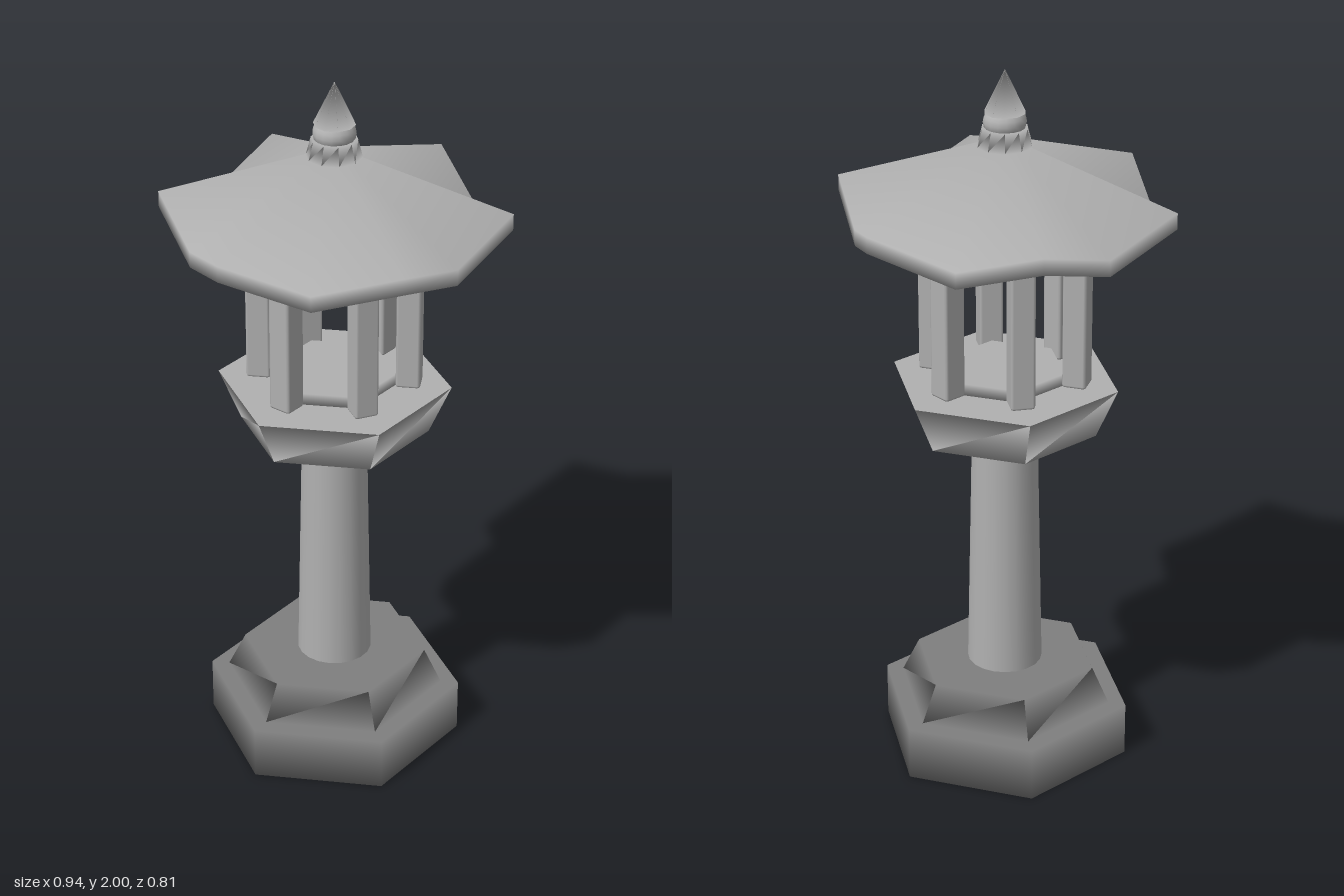
import * as THREE from 'three';
import { RoundedBoxGeometry } from 'three/addons/geometries/RoundedBoxGeometry.js';

// Ring of n points; radius and height may vary with the point index
function ring(n, radius, height) {
  return Array.from({ length: n }, (_, i) => {
    const a = (i / n) * Math.PI * 2;
    const r = typeof radius === 'function' ? radius(i) : radius;
    const y = typeof height === 'function' ? height(i) : height;
    return [r * Math.cos(a), y, -r * Math.sin(a)];
  });
}

// Solid between two rings, each closed by a fan to a centre point.
// Normals come from the two caps only, so the walls blend softly from cap to cap.
function slab(bottom, top, bottomY, topY) {
  const n = top.length;
  const points = [...top, ...bottom, [0, topY, 0], [0, bottomY, 0]];
  const caps = [], walls = [];
  for (let i = 0; i < n; i++) {
    const j = (i + 1) % n;
    caps.push(2 * n, i, j, 2 * n + 1, n + j, n + i);
    walls.push(n + i, n + j, j, n + i, j, i);
  }
  const geometry = new THREE.BufferGeometry();
  geometry.setAttribute('position', new THREE.Float32BufferAttribute(points.flat(), 3));
  geometry.setIndex(caps);
  geometry.computeVertexNormals();
  geometry.setIndex([...caps, ...walls]);
  return geometry;
}

// Straight or tapered tier with n sides
const tier = (n, r0, r1, y0, y1) => slab(ring(n, r0, y0), ring(n, r1, y1), y0, y1);

export function createModel() {
  const group = new THREE.Group();
  const paleStone = new THREE.MeshStandardMaterial({ color: 0xb0b0b0 });
  paleStone.name = 'pale stone';
  const darkStone = new THREE.MeshStandardMaterial({ color: 0x7f7f7f });
  darkStone.name = 'dark stone';

  const add = (name, geometry, material = paleStone, y = 0) => {
    const mesh = new THREE.Mesh(geometry, material);
    mesh.name = name;
    mesh.position.y = y;
    group.add(mesh);
    return mesh;
  };

  // Hexagonal stepped base
  add('basePlinth', tier(6, 0.36, 0.36, 0, 0.155), darkStone);
  add('baseStep', tier(6, 0.31, 0.26, 0.155, 0.26), darkStone);

  // Tapered round column
  add('column', new THREE.CylinderGeometry(0.09, 0.105, 0.73, 20), paleStone, 0.625);

  // Flared platform with a thin floor plate
  add('platform', tier(6, 0.26, 0.32, 0.99, 1.13));
  add('floorPlate', tier(6, 0.172, 0.172, 1.13, 1.163));

  // Six chamfered posts, one towards each corner
  const postGeometry = new RoundedBoxGeometry(0.067, 0.385, 0.067, 1, 0.008);
  for (let i = 0; i < 6; i++) {
    const a = (i * Math.PI) / 3;
    const post = add('post', postGeometry, paleStone, 1.328);
    post.position.x = 0.204 * Math.cos(a);
    post.position.z = -0.204 * Math.sin(a);
    post.rotation.y = a;
  }

  // Hexagonal roof: corners turn up, the middle of each eave dips
  const eaveRadius = (i) => (i % 2 ? 0.402 : 0.47);
  const eaveBottom = (i) => (i % 2 ? 1.545 : 1.615);
  const eaveTop = (i) => eaveBottom(i) + 0.045;
  add('roof', slab(ring(12, eaveRadius, eaveBottom), ring(12, eaveRadius, eaveTop), 1.545, 1.82));

  // Finial: collar, bulb and pointed tip
  add('finialCollar', tier(10, 0.075, 0.062, 1.795, 1.845));
  const bulb = add('finialBulb', new THREE.SphereGeometry(0.058, 16, 10), paleStone, 1.86);
  bulb.scale.y = 0.75;
  add('finialTip', tier(10, 0.056, 0.001, 1.885, 2));

  return group;
}
